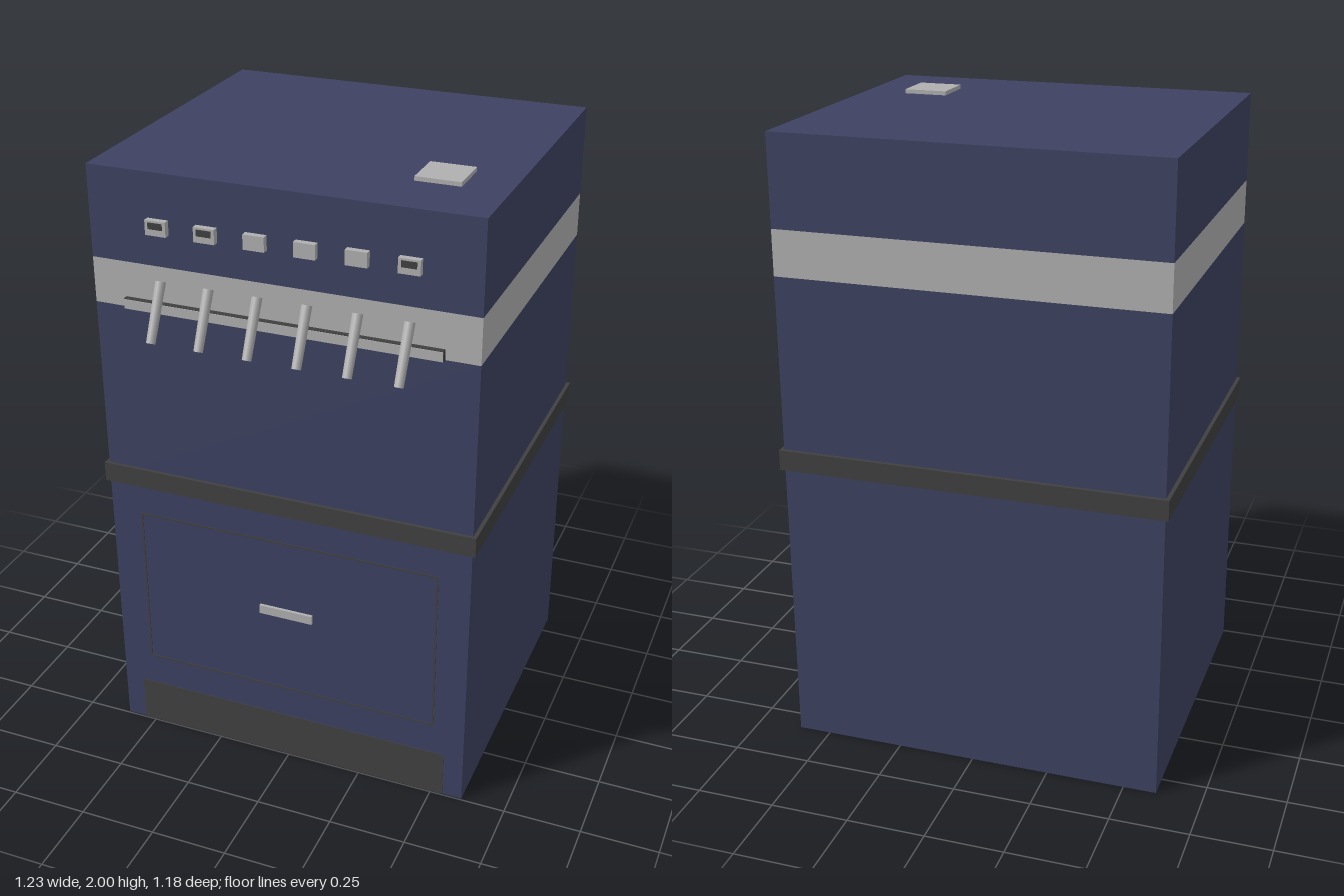
import * as THREE from 'three';

export function createModel() {
  const model = new THREE.Group();
  const mat = (name, color) => {
    const m = new THREE.MeshStandardMaterial({ color });
    m.name = name;
    return m;
  };
  const navy = mat('navy', 0x3d4161);
  const grey = mat('light grey', 0xb0b0b0);
  const dark = mat('dark grey', 0x404040);

  // Box given by its limits on each axis
  const box = (name, material, [x0, x1], [y0, y1], [z0, z1], parent = model) => {
    const mesh = new THREE.Mesh(new THREE.BoxGeometry(x1 - x0, y1 - y0, z1 - z0), material);
    mesh.position.set((x0 + x1) / 2, (y0 + y1) / 2, (z0 + z1) / 2);
    mesh.name = name;
    parent.add(mesh);
    return mesh;
  };

  // Cabinet in stacked blocks, with a grey band and a protruding belt
  const width = [-0.605, 0.605], depth = [-0.577, 0.494], front = depth[1];
  box('lowerCabinet', navy, width, [0, 0.95], depth);
  box('upperCabinet', navy, width, [0.95, 1.555], depth);
  box('band', grey, width, [1.555, 1.7], depth);
  box('topCabinet', navy, width, [1.7, 1.987], depth);
  box('belt', dark, [-0.617, 0.617], [0.935, 1.0], [-0.59, 0.505]);
  box('topPad', grey, [0.325, 0.465], [1.985, 2.0], [0.145, 0.285]);

  // Ledge below the taps, with a grey face
  box('ledge', dark, [-0.5, 0.5], [1.555, 1.588], [front, 0.511]);
  box('ledgeFace', grey, [-0.499, 0.499], [1.556, 1.586], [0.511, 0.513]);

  // Door outline, handle and kick plate
  const door = new THREE.Group();
  door.name = 'door';
  model.add(door);
  const skin = [front, front + 0.002];
  for (const s of [-1, 1]) box('doorSideLine', dark, [s * 0.5 - 0.003, s * 0.5 + 0.003], [0.27, 0.83], skin, door);
  for (const y of [0.27, 0.83]) box('doorCrossLine', dark, [-0.5, 0.5], [y - 0.003, y + 0.003], skin, door);
  box('doorHandle', grey, [-0.09, 0.09], [0.555, 0.585], [front, 0.504], door);
  box('kickPlate', dark, [-0.54, 0.54], [0, 0.16], skin);

  // Six taps, each with a button above
  const top = new THREE.Vector3(0, 1.655, 0.498);
  const tip = new THREE.Vector3(0, 1.49, 0.581);
  const axis = top.clone().sub(tip);
  const leverGeometry = new THREE.CylinderGeometry(0.016, 0.014, axis.length(), 16);
  for (let i = 0; i < 6; i++) {
    const x = -0.38 + i * 0.155;
    const lever = new THREE.Mesh(leverGeometry, grey);
    lever.name = 'tapLever';
    lever.position.copy(top).add(tip).multiplyScalar(0.5).setX(x);
    lever.quaternion.setFromUnitVectors(new THREE.Vector3(0, 1, 0), axis.clone().normalize());
    model.add(lever);

    box('tapButton', grey, [x - 0.033, x + 0.033], [1.802, 1.848], [front, 0.514]);
    if (i < 2 || i === 5) box('buttonWindow', dark, [x - 0.023, x + 0.023], [1.822, 1.842], [0.514, 0.516]);
  }
  return model;
}
